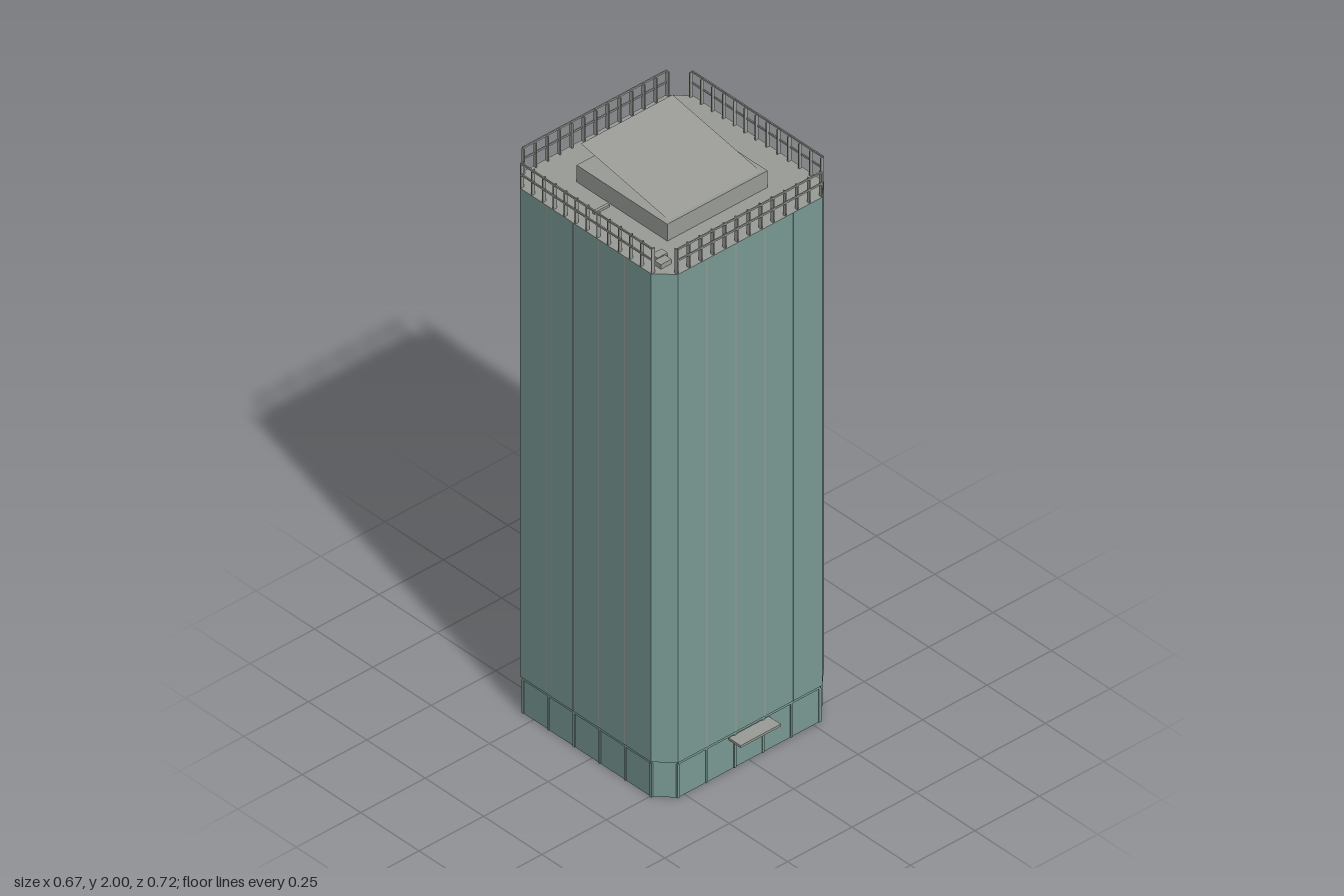
import * as THREE from 'three';

const HALF = 0.335, CUT = 0.28, BASE = 0.329, SOFFIT = 0.13, ROOF = 1.872, BAY = 0.112, CENTRE_Z = -0.021;

const glass = new THREE.MeshStandardMaterial({ color: 0x7a9a94, side: THREE.DoubleSide });
glass.name = 'tealGlass';
const grey = new THREE.MeshStandardMaterial({ color: 0x9a9c97, side: THREE.DoubleSide });
grey.name = 'warmGrey';

// Square outline with cut corners, running left to right as seen from outside
function outline(h) {
  const c = CUT - (HALF - h);
  return [[-c, h], [c, h], [h, c], [h, -c], [c, -h], [-c, -h], [-h, -c], [-h, c]];
}

// Open flat-shaded shell through a list of [halfWidth, y] rings
function shell(rings) {
  const pos = [];
  for (let r = 0; r < rings.length - 1; r++) {
    const [ha, ya] = rings[r], [hb, yb] = rings[r + 1];
    const a = outline(ha), b = outline(hb);
    for (let i = 0; i < 8; i++) {
      const j = (i + 1) % 8;
      const A = [a[i][0], ya, a[i][1]], B = [a[j][0], ya, a[j][1]];
      const C = [b[j][0], yb, b[j][1]], D = [b[i][0], yb, b[i][1]];
      pos.push(...A, ...B, ...C, ...A, ...C, ...D);
    }
  }
  const g = new THREE.BufferGeometry();
  g.setAttribute('position', new THREE.Float32BufferAttribute(pos, 3));
  g.computeVertexNormals();
  return g;
}

function add(parent, name, geometry, material) {
  const m = new THREE.Mesh(geometry, material);
  m.name = name;
  parent.add(m);
  return m;
}

// Box given by its extents on each axis
function box(parent, name, material, x0, x1, y0, y1, z0, z1) {
  const m = add(parent, name, new THREE.BoxGeometry(x1 - x0, y1 - y0, z1 - z0), material);
  m.position.set((x0 + x1) / 2, (y0 + y1) / 2, (z0 + z1) / 2);
  return m;
}

// Everything repeated on each of the four sides, built facing +z
function buildSide() {
  const side = new THREE.Group();
  side.name = 'side';
  // ground floor piers and header
  for (let i = 0; i <= 5; i++) {
    const x = (i - 2.5) * BAY * 0.98;
    box(side, 'basePier', glass, x - 0.004, x + 0.004, 0, 0.12, BASE - 0.004, BASE + 0.003);
  }
  box(side, 'baseHeader', glass, -0.275, 0.275, 0.12, SOFFIT - 0.001, BASE - 0.004, BASE + 0.003);
  // slim vertical fins between the glass bays
  for (let i = 1; i < 5; i++) {
    const x = (i - 2.5) * BAY;
    box(side, 'facadeFin', grey, x - 0.0015, x + 0.0015, SOFFIT, ROOF, HALF - 0.002, HALF + 0.001);
  }
  // roof railing
  const rail = new THREE.Group();
  rail.name = 'railing';
  side.add(rail);
  for (let i = 0; i <= 12; i++) {
    const x = -CUT + i * CUT / 6;
    box(rail, 'railPost', grey, x - 0.002, x + 0.002, ROOF, 1.96, HALF - 0.013, HALF - 0.001);
  }
  for (const y of [1.92, 1.96])
    box(rail, 'railBar', grey, -CUT, CUT, y - 0.003, y + 0.003, HALF - 0.005, HALF - 0.001);
  return side;
}

export function createModel() {
  const model = new THREE.Group();
  model.name = 'officeTower';

  const tower = new THREE.Group();
  tower.name = 'tower';
  tower.position.z = CENTRE_Z;
  model.add(tower);

  // open-bottomed walls with a slight overhang above the ground floor
  add(tower, 'walls', shell([[BASE, 0], [BASE, SOFFIT], [HALF, SOFFIT], [HALF, ROOF]]), glass);
  const roofShape = new THREE.Shape(outline(HALF).map(([x, z]) => new THREE.Vector2(x, -z)));
  const roof = add(tower, 'roof', new THREE.ShapeGeometry(roofShape), grey);
  roof.rotation.x = -Math.PI / 2;
  roof.position.y = ROOF;

  for (let k = 0; k < 4; k++) {
    const side = buildSide();
    side.rotation.y = k * Math.PI / 2;
    tower.add(side);
  }

  // plant room with a thin sloping sheet above it
  box(model, 'plantRoom', grey, -0.194, 0.194, ROOF, 1.932, -0.215, 0.173);
  const z0 = -0.215, z1 = 0.172, rise = 0.07;
  const sheet = add(model, 'slopingRoof', new THREE.PlaneGeometry(0.355, Math.hypot(z1 - z0, rise)), grey);
  sheet.rotation.x = -Math.PI / 2 + Math.atan2(rise, z1 - z0);
  sheet.position.set(0, 2 - rise / 2, (z0 + z1) / 2);

  // small roof units
  box(model, 'roofUnit', grey, -0.285, -0.245, ROOF, 1.888, 0.205, 0.231);
  box(model, 'roofUnit', grey, -0.299, -0.258, ROOF, 1.888, 0.234, 0.262);
  box(model, 'roofVent', grey, -0.263, -0.206, ROOF, 1.88, -0.072, -0.062);

  // entrance canopy
  box(model, 'canopy', grey, -0.078, 0.078, 0.108, 0.116, 0.306, 0.359);

  return model;
}
